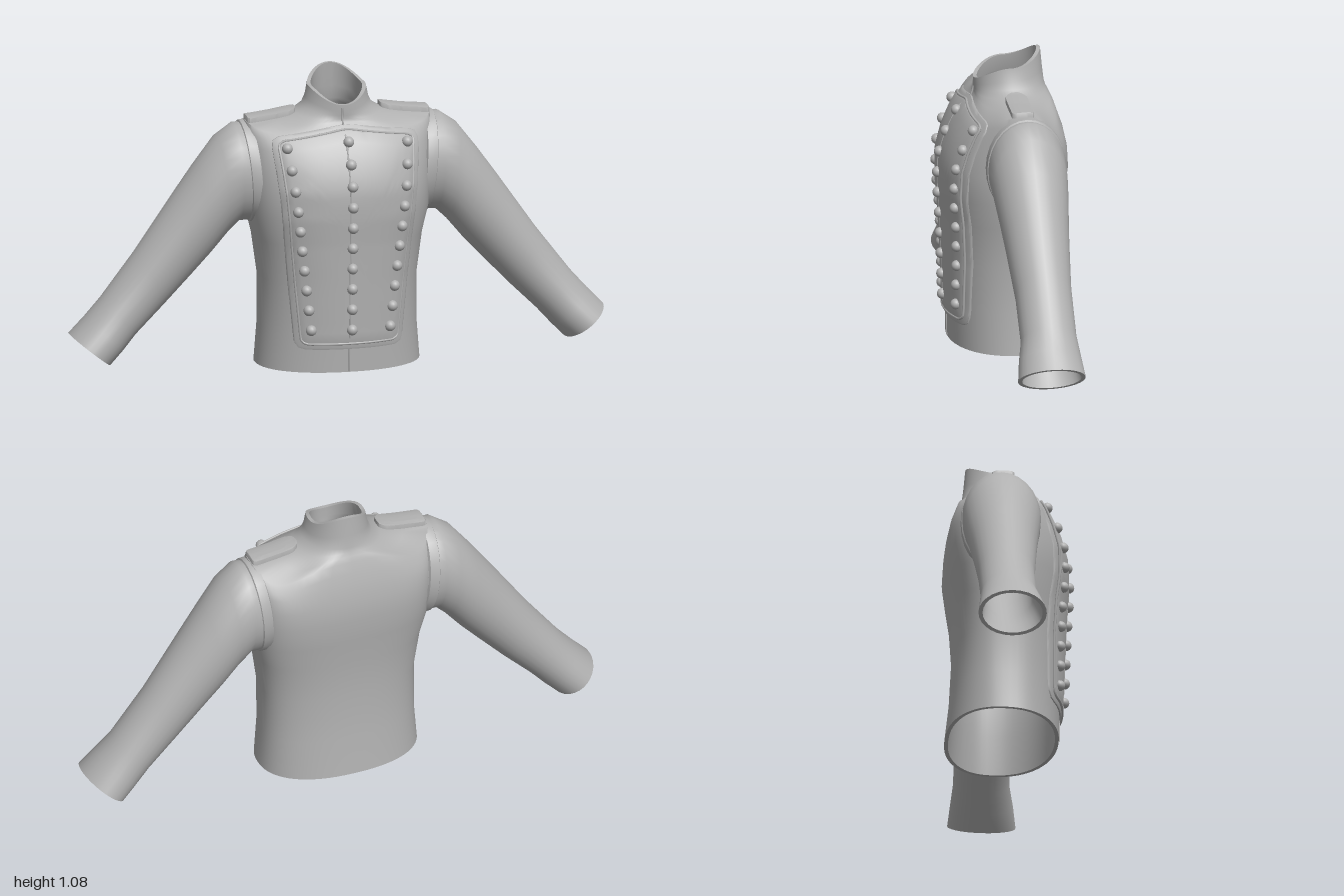
import * as THREE from 'three';
import { toCreasedNormals } from 'three/addons/utils/BufferGeometryUtils.js';

// Skin a list of closed rings (arrays of Vector3, equal length)
function loft(rings, crease = 0.9) {
  const n = rings[0].length, pos = [], idx = [];
  rings.forEach(r => r.forEach(p => pos.push(p.x, p.y, p.z)));
  for (let i = 0; i < rings.length - 1; i++) {
    for (let j = 0; j < n; j++) {
      const k = (j + 1) % n, a = i * n + j, b = i * n + k, d = a + n, c = b + n;
      idx.push(a, d, c, a, c, b);
    }
  }
  const g = new THREE.BufferGeometry();
  g.setAttribute('position', new THREE.Float32BufferAttribute(pos, 3));
  g.setIndex(idx);
  return toCreasedNormals(g, crease);
}

const around = (n, f) => Array.from({ length: n }, (_, i) => f(i / n * Math.PI * 2));
const power = (v, e) => Math.sign(v) * Math.pow(Math.abs(v), 2 / e);

// Torso sections: half width, front z, back z, y front, y side, y back, front and back roundness, corner drop
const TORSO = [
  [.305, .185, -.232, 0, 0, 0, 2.2, 2.3, 0],
  [.293, .188, -.215, .15, .15, .15, 2.2, 2.4, 0],
  [.293, .194, -.205, .33, .33, .33, 2.3, 2.5, 0],
  [.312, .2, -.213, .48, .48, .48, 2.4, 2.8, 0],
  [.335, .207, -.225, .58, .58, .58, 2.5, 3.1, 0],
  [.343, .206, -.236, .68, .68, .68, 2.5, 3.4, 0],
  [.345, .184, -.231, .76, .76, .76, 2.5, 3.5, .01],
  [.348, .153, -.216, .83, .84, .83, 2.5, 3.5, .03],
  [.35, .125, -.203, .875, .89, .87, 2.5, 3.3, .055],
  [.345, .103, -.19, .9, .915, .91, 2.5, 3, .055],
  [.25, .09, -.181, .917, .925, .93, 2.4, 2.6, .03],
  [.165, .088, -.174, .928, .938, .943, 2.1, 2.2, .008],
  [.13, .089, -.169, .94, .958, .96, 2, 2, 0],
  [.116, .09, -.163, .957, .985, 1.01, 2, 2, 0],
  [.107, .09, -.156, .98, 1.03, 1.084, 2, 2, 0],
];

function torsoRing([hw, zf, zb, yf, ys, yb, ef, eb, drop], inset = 0, yScale = 1) {
  const zc = -.035;
  return around(64, t => {
    const c = Math.cos(t), s = Math.sin(t), front = s > 0, e = front ? ef : eb;
    const reach = (front ? zf - zc : zc - zb) - inset;
    const y = ys + ((front ? yf : yb) - ys) * s * s
      - drop * (front ? .4 : 1) * Math.sin(2 * t) ** 2;
    return new THREE.Vector3((hw - inset) * power(c, e), y * yScale, zc + reach * power(s, e));
  });
}

// Sleeve sections: upper x, y, lower x, y, front z, back z
const SLEEVE = [
  [.31, .885, .29, .555, .085, -.18],
  [.355, .905, .325, .54, .093, -.187],
  [.385, .905, .37, .54, .098, -.19],
  [.45, .86, .415, .497, .092, -.186],
  [.53, .757, .475, .425, .08, -.176],
  [.6, .66, .545, .35, .07, -.166],
  [.75, .445, .65, .24, .055, -.152],
  [.88, .275, .755, .137, .056, -.15],
  [.94, .207, .806, .08, .073, -.158],
  [1, .145, .855, .03, .085, -.165],
];

function sleeveRing([ux, uy, lx, ly, zf, zb], scale = 1, dx = 0) {
  return around(28, t => {
    const c = Math.cos(t) * scale / 2, s = Math.sin(t) * scale / 2;
    return new THREE.Vector3((ux + lx) / 2 + (ux - lx) * c + dx,
      (uy + ly) / 2 + (uy - ly) * c, (zf + zb) / 2 - (zf - zb) * s);
  });
}

// Evenly spaced outline of a polygon with rounded corners
function roundedOutline(corners, r, count) {
  const path = new THREE.Path(), n = corners.length;
  const v = corners.map(p => new THREE.Vector2(...p));
  v.forEach((p, i) => {
    const toward = q => p.clone().add(q.clone().sub(p).setLength(r));
    const a = toward(v[(i + n - 1) % n]), b = toward(v[(i + 1) % n]);
    if (i) path.lineTo(a.x, a.y); else path.moveTo(a.x, a.y);
    path.quadraticCurveTo(p.x, p.y, b.x, b.y);
  });
  path.closePath();
  return path.getSpacedPoints(count).slice(0, count);
}

export function createModel() {
  const group = new THREE.Group();
  const cloth = new THREE.MeshStandardMaterial({ color: 0xb0b0b0, side: THREE.DoubleSide });
  cloth.name = 'grey cloth';
  const add = (name, geometry) => {
    const m = new THREE.Mesh(geometry, cloth);
    m.name = name;
    group.add(m);
    return m;
  };
  const addPair = (name, geometry) => {
    add(name + 'Left', geometry);
    add(name + 'Right', geometry).scale.x = -1;
  };

  // Torso with collar and lining
  const last = TORSO.length - 1;
  const lining = TORSO.map((r, i) => torsoRing(r, .014, i === last ? 1 : .985)).reverse();
  const outer = TORSO.map(r => torsoRing(r));
  const torso = add('torso', loft([...outer, ...lining, outer[0]]));

  // Height of the torso surface seen from the front or from above
  const ray = new THREE.Raycaster();
  const frontAt = (x, y) => {
    ray.set(new THREE.Vector3(x, y, 1), new THREE.Vector3(0, 0, -1));
    const hit = ray.intersectObject(torso)[0];
    return Math.max(hit ? hit.point.z : 0, .055);
  };
  const topAt = (x, z) => {
    ray.set(new THREE.Vector3(x, 2, z), new THREE.Vector3(0, -1, 0));
    const hit = ray.intersectObject(torso)[0];
    return Math.max(hit ? hit.point.y : 0, .9);
  };

  // Plate that follows the torso, with side walls
  function plate(outline, height, place) {
    const c = outline.reduce((a, p) => a.add(p), new THREE.Vector2()).divideScalar(outline.length);
    const ring = (k, h) => outline.map(p => place(c.x + (p.x - c.x) * k, c.y + (p.y - c.y) * k, h));
    return loft([ring(1, -.012), ring(1, height),
      ...[.985, .9, .8, .7, .6, .5, .4, .3, .2, .1, 0].map(k => ring(k, height + .002))], .7);
  }
  const onFront = (x, y, h) => new THREE.Vector3(x, y, frontAt(x, y) + h);
  const onTop = (x, z, h) => new THREE.Vector3(x, topAt(x, z) + h, z);

  // Chest panel: wide border below, raised front above
  const border = [[-.2, .088], [-.278, .872], [0, .912], [.278, .872], [.2, .088]];
  const front = [[-.18, .11], [-.254, .86], [0, .898], [.254, .86], [.18, .11]];
  add('panelBorder', plate(roundedOutline(border, .035, 96), .005, onFront));
  add('chestPanel', plate(roundedOutline(front, .022, 96), .012, onFront));

  // Edge piping of the panel and the front closure
  const piping = roundedOutline(front, .022, 96).map(p => onFront(p.x, p.y, .011));
  add('panelPiping', new THREE.TubeGeometry(
    new THREE.CatmullRomCurve3(piping, true), 160, .005, 6, true));
  const closure = Array.from({ length: 30 }, (_, i) => {
    const y = .004 + i * .0333;
    return onFront(-.008, y, y > .11 && y < .89 ? .013 : .001);
  });
  add('frontClosure', new THREE.TubeGeometry(
    new THREE.CatmullRomCurve3(closure), 90, .0035, 6));

  // Three rows of ten buttons
  const ball = new THREE.SphereGeometry(.02, 16, 12);
  for (let i = 0; i < 10; i++) {
    const t = i / 9;
    for (const side of [-1, 0, 1]) {
      const x = side * (.148 + .077 * t);
      const y = side ? .163 + .677 * t : .162 + .695 * t;
      add('button', ball).position.copy(onFront(x, y, .016));
    }
  }

  // Sleeves with hollow cuffs
  const inside = SLEEVE.slice(3).reverse().map(r => sleeveRing(r, .88));
  addPair('sleeve', loft([...SLEEVE.map(r => sleeveRing(r)), ...inside]));

  // Raised seam around each armhole
  const seam = [[.97, -.035], [1.035, -.03], [1.045, -.012], [1.035, .006], [.97, .012]];
  addPair('armholeSeam', loft(seam.map(([k, dx]) => sleeveRing(SLEEVE[1], k, dx)), .5));

  // Shoulder straps with a rounded inner end
  const strap = [[.342, -.078], [.342, .004], [.185, .004], [.158, -.015], [.158, -.059], [.185, -.078]];
  addPair('shoulderStrap', plate(roundedOutline(strap, .012, 48), .016, onTop));

  return group;
}
